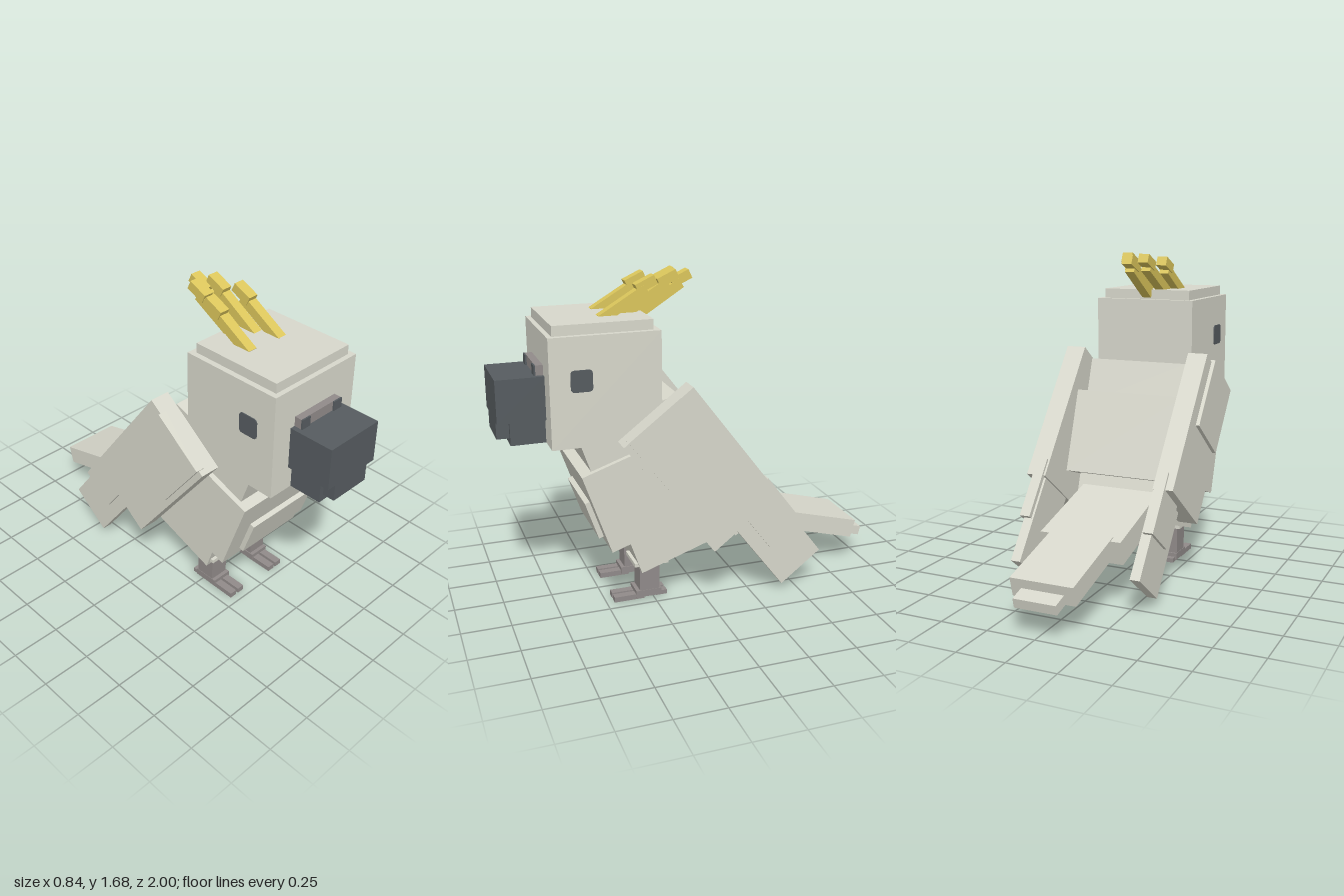
import * as THREE from 'three';

function colour(name, hex) {
  const m = new THREE.MeshStandardMaterial({ color: hex });
  m.name = name;
  return m;
}

export function createModel() {
  const bird = new THREE.Group();
  bird.name = 'crestedBird';
  const plumage = colour('pale plumage', 0xd8d8cc);
  const dark = colour('dark slate', 0x565c60);
  const grey = colour('leg grey', 0x918b8a);
  const yellow = colour('crest yellow', 0xdcc75c);

  // size and centre are [x, y, z]; tilt turns the box about x
  const box = (name, mat, size, centre, tilt = 0, parent = bird) => {
    const m = new THREE.Mesh(new THREE.BoxGeometry(...size), mat);
    m.name = name;
    m.position.set(...centre);
    m.rotation.x = tilt;
    parent.add(m);
    return m;
  };
  // box from its limits
  const span = (name, mat, [x0, x1], [y0, y1], [z0, z1], parent = bird) =>
    box(name, mat, [x1 - x0, y1 - y0, z1 - z0], [(x0 + x1) / 2, (y0 + y1) / 2, (z0 + z1) / 2], 0, parent);

  // Head and beak
  span('head', plumage, [-0.272, 0.272], [0.89, 1.43], [0.22, 0.765]);
  span('headCap', plumage, [-0.243, 0.243], [1.42, 1.48], [0.25, 0.74]);
  span('upperBeak', dark, [-0.162, 0.162], [1.01, 1.225], [0.76, 1]);
  span('lowerBeak', dark, [-0.136, 0.136], [0.89, 1.01], [0.76, 0.937]);
  span('beakTip', dark, [-0.112, 0.112], [0.922, 1.01], [0.9, 0.999]);
  span('cere', grey, [-0.136, 0.136], [1.225, 1.275], [0.76, 0.802]);

  // Rounded square eye plate
  const a = 0.053, r = 0.018;
  const eyeShape = new THREE.Shape();
  eyeShape.absarc(a - r, a - r, r, 0, Math.PI / 2);
  eyeShape.absarc(r - a, a - r, r, Math.PI / 2, Math.PI);
  eyeShape.absarc(r - a, r - a, r, Math.PI, Math.PI * 1.5);
  eyeShape.absarc(a - r, r - a, r, Math.PI * 1.5, Math.PI * 2);
  const eyeGeo = new THREE.ExtrudeGeometry(eyeShape, { depth: 0.008, bevelEnabled: false, curveSegments: 4 });
  eyeGeo.translate(0, 0, -0.004);

  // Torso, leaning forward
  const lean = 0.33;
  box('neck', plumage, [0.54, 0.25, 0.53], [0, 0.906, 0.35], lean);
  box('chest', plumage, [0.596, 0.435, 0.65], [0, 0.645, 0.255], lean);
  box('bellyPatch', plumage, [0.38, 0.207, 0.06], [0, 0.478, 0.537], lean);
  box('hips', plumage, [0.485, 0.35, 0.485], [0, 0.413, 0.152], lean);

  // Tail
  const droop = -0.262;
  box('tailBase', plumage, [0.43, 0.125, 0.52], [0, 0.352, -0.284], droop);
  box('tailFeathers', plumage, [0.326, 0.1, 0.43], [0, 0.255, -0.715], droop);
  box('tailTip', plumage, [0.22, 0.05, 0.1], [0, 0.168, -0.947], droop);

  // Paired parts
  const sweep = 0.652;
  for (const s of [1, -1]) {
    const side = s > 0 ? 'left' : 'right';
    const pair = (lo, hi) => (s > 0 ? [lo, hi] : [-hi, -lo]);

    const eye = new THREE.Mesh(eyeGeo, dark);
    eye.name = side + 'Eye';
    eye.position.set(s * 0.273, 1.217, 0.612);
    eye.rotation.y = Math.PI / 2;
    bird.add(eye);
    span(side + 'Nostril', dark, pair(0.082, 0.136), [1.225, 1.275], [0.802, 0.81]);

    const wing = new THREE.Group();
    wing.name = side + 'Wing';
    bird.add(wing);
    box('wingPanel', plumage, [0.105, 0.76, 0.435], [s * 0.348, 0.74, 0.048], sweep, wing);
    box('shoulderPlate', plumage, [0.05, 0.378, 0.325], [s * 0.395, 0.885, 0.19], sweep, wing);
    box('shortFeather', plumage, [0.055, 0.317, 0.217], [s * 0.333, 0.456, -0.321], sweep, wing);
    box('longFeather', plumage, [0.051, 0.45, 0.267], [s * 0.32, 0.297, -0.38], sweep, wing);

    const leg = new THREE.Group();
    leg.name = side + 'Leg';
    bird.add(leg);
    span('thighCuff', plumage, pair(0.065, 0.23), [0.2, 0.22], [0.18, 0.36], leg);
    span('shin', grey, pair(0.097, 0.2), [0.03, 0.21], [0.22, 0.325], leg);
    span('foot', grey, pair(0.092, 0.202), [0.012, 0.048], [0.21, 0.345], leg);
    for (const x of [0.12, 0.174]) {
      span('frontToe', grey, pair(x - 0.02, x + 0.02), [0, 0.028], [0.3, 0.46], leg);
      span('backToe', grey, pair(x - 0.02, x + 0.02), [0.005, 0.028], [0.178, 0.24], leg);
    }
  }

  // Crest: [x, root z, tip z, tip y]
  const crest = new THREE.Group();
  crest.name = 'crest';
  bird.add(crest);
  const quills = [
    [-0.107, 0.46, 0.24, 1.612],
    [-0.066, 0.36, 0.095, 1.63],
    [-0.003, 0.26, 0.035, 1.625],
    [0.034, 0.36, 0.115, 1.635],
    [0.08, 0.47, 0.24, 1.62],
  ];
  for (const [x, z0, z1, y1] of quills) {
    const y0 = 1.46, ye = y1 - 0.022;
    const len = Math.hypot(z0 - z1, ye - y0);
    box('crestQuill', yellow, [0.05, 0.05, len], [x, (y0 + ye) / 2, (z0 + z1) / 2],
      Math.atan2(ye - y0, z0 - z1), crest);
    box('crestTip', yellow, [0.055, 0.048, 0.105], [x - 0.003, y1, z1], 0.43, crest);
  }
  return bird;
}
